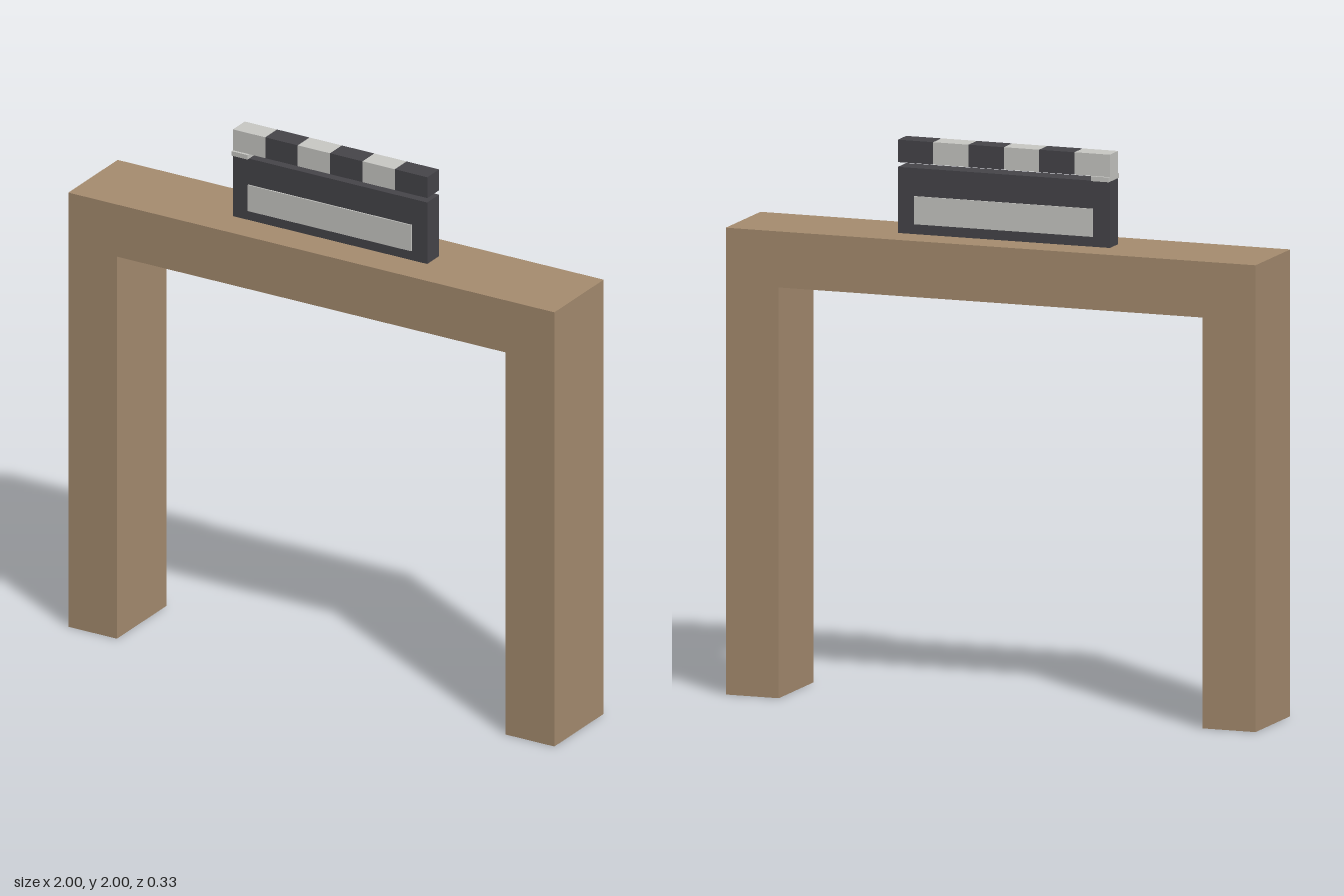
import * as THREE from 'three';

export function createModel() {
  const model = new THREE.Group();
  model.name = 'archway';

  const material = (name, color) => {
    const m = new THREE.MeshStandardMaterial({ color });
    m.name = name;
    return m;
  };
  const wood = material('wood', 0xa78d70);
  const dark = material('charcoal', 0x46454a);
  const light = material('paleGrey', 0xc9c9c5);

  const box = (name, mat, w, h, d, x, y, z, parent) => {
    const mesh = new THREE.Mesh(new THREE.BoxGeometry(w, h, d), mat);
    mesh.name = name;
    mesh.position.set(x, y, z);
    parent.add(mesh);
    return mesh;
  };

  // Wooden frame: two posts and a lintel in one outline
  const top = 1.667, depth = 0.333, thick = 0.2;
  const outline = new THREE.Shape([
    [-1, 0], [-1 + thick, 0], [-1 + thick, top - thick], [1 - thick, top - thick],
    [1 - thick, 0], [1, 0], [1, top], [-1, top],
  ].map(([x, y]) => new THREE.Vector2(x, y)));
  const frameGeometry = new THREE.ExtrudeGeometry(outline, { depth, bevelEnabled: false });
  frameGeometry.translate(0, 0, -depth / 2);
  const frame = new THREE.Mesh(frameGeometry, wood);
  frame.name = 'frame';
  model.add(frame);

  // Clapperboard standing on the lintel
  const clapper = new THREE.Group();
  clapper.name = 'clapperboard';
  model.add(clapper);
  const boardTop = 1.903, barBottom = 1.92, width = 0.8, boardDepth = 0.08;
  box('slate', dark, width, boardTop - top, boardDepth, 0, (top + boardTop) / 2, 0, clapper);

  // Pale writing panels on both faces
  for (const side of [1, -1]) {
    const name = side > 0 ? 'frontPanel' : 'backPanel';
    box(name, light, 0.673, 0.1, 0.005, 0, 1.753, side * (boardDepth / 2 + 0.0025), clapper);
  }

  // Striped clap bar, pale at the hinge end
  const count = 6, step = width / count;
  for (let i = 0; i < count; i++) {
    box(`clapStripe${i + 1}`, i % 2 ? dark : light, step, 2 - barBottom, boardDepth,
      -width / 2 + step * (i + 0.5), (2 + barBottom) / 2, 0, clapper);
  }

  // Thin hinge plate joining bar and slate
  box('hinge', light, 0.067, barBottom - boardTop, 0.1,
    -width / 2 + 0.0335, (boardTop + barBottom) / 2, 0, clapper);

  return model;
}
